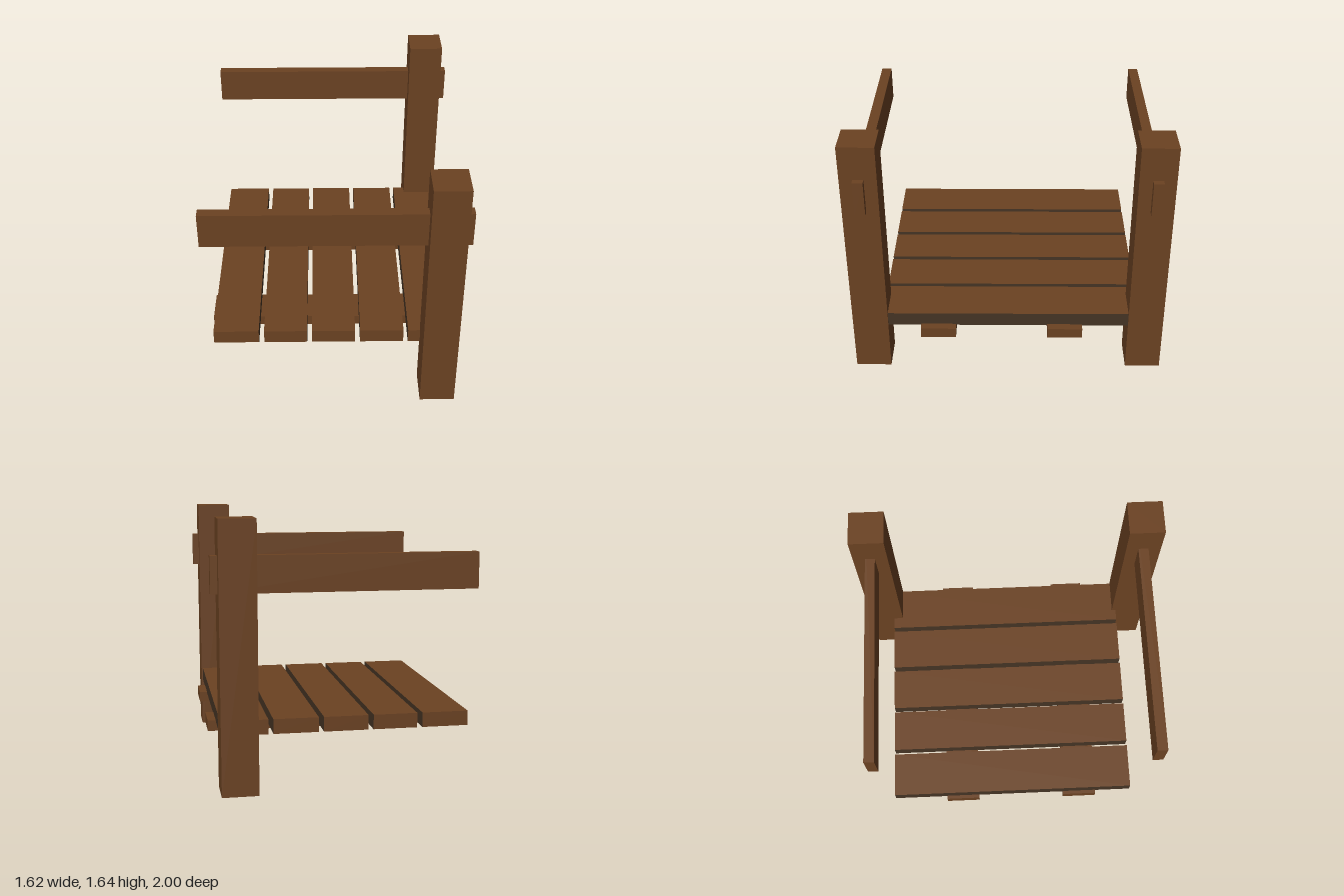
import * as THREE from 'three';

const wood = new THREE.MeshStandardMaterial({ color: 0x6b4222 });
wood.name = 'brown wood';
const edgeWood = new THREE.MeshStandardMaterial({ color: 0x453424 });
edgeWood.name = 'dark plank edge';

// Box given by its extents along each axis
function beam(name, [x0, x1], [y0, y1], [z0, z1], material = wood) {
  const mesh = new THREE.Mesh(new THREE.BoxGeometry(x1 - x0, y1 - y0, z1 - z0), material);
  mesh.position.set((x0 + x1) / 2, (y0 + y1) / 2, (z0 + z1) / 2);
  mesh.name = name;
  return mesh;
}

export function createModel() {
  const model = new THREE.Group();
  model.name = 'woodenPlatform';

  // Two square posts at the right-hand corners
  model.add(beam('frontPost', [0.543, 0.766], [0, 1.64], [0.773, 1]));
  model.add(beam('backPost', [0.543, 0.766], [0, 1.64], [-1, -0.775]));

  // Handrails running through the posts
  const length = [-0.81, 0.808];
  model.add(beam('frontRail', length, [1.2, 1.423], [0.852, 0.918]));
  model.add(beam('backRail', length, [1.2, 1.423], [-0.921, -0.857]));

  // Cross supports beneath the deck
  for (const z of [[0.335, 0.56], [-0.478, -0.254]]) {
    model.add(beam('crossSupport', length, [0.27, 0.338], z));
  }

  // Deck planks with darker long edges (first two box faces are +x and -x)
  const plankFaces = [edgeWood, edgeWood, wood, wood, wood, wood];
  const deck = new THREE.Group();
  deck.name = 'deck';
  const planks = [[-0.788, -0.497], [-0.463, -0.186], [-0.154, 0.124], [0.156, 0.436], [0.466, 0.757]];
  for (const x of planks) {
    deck.add(beam('plank', x, [0.33, 0.422], [-0.838, 0.8], plankFaces));
  }
  model.add(deck);

  return model;
}
